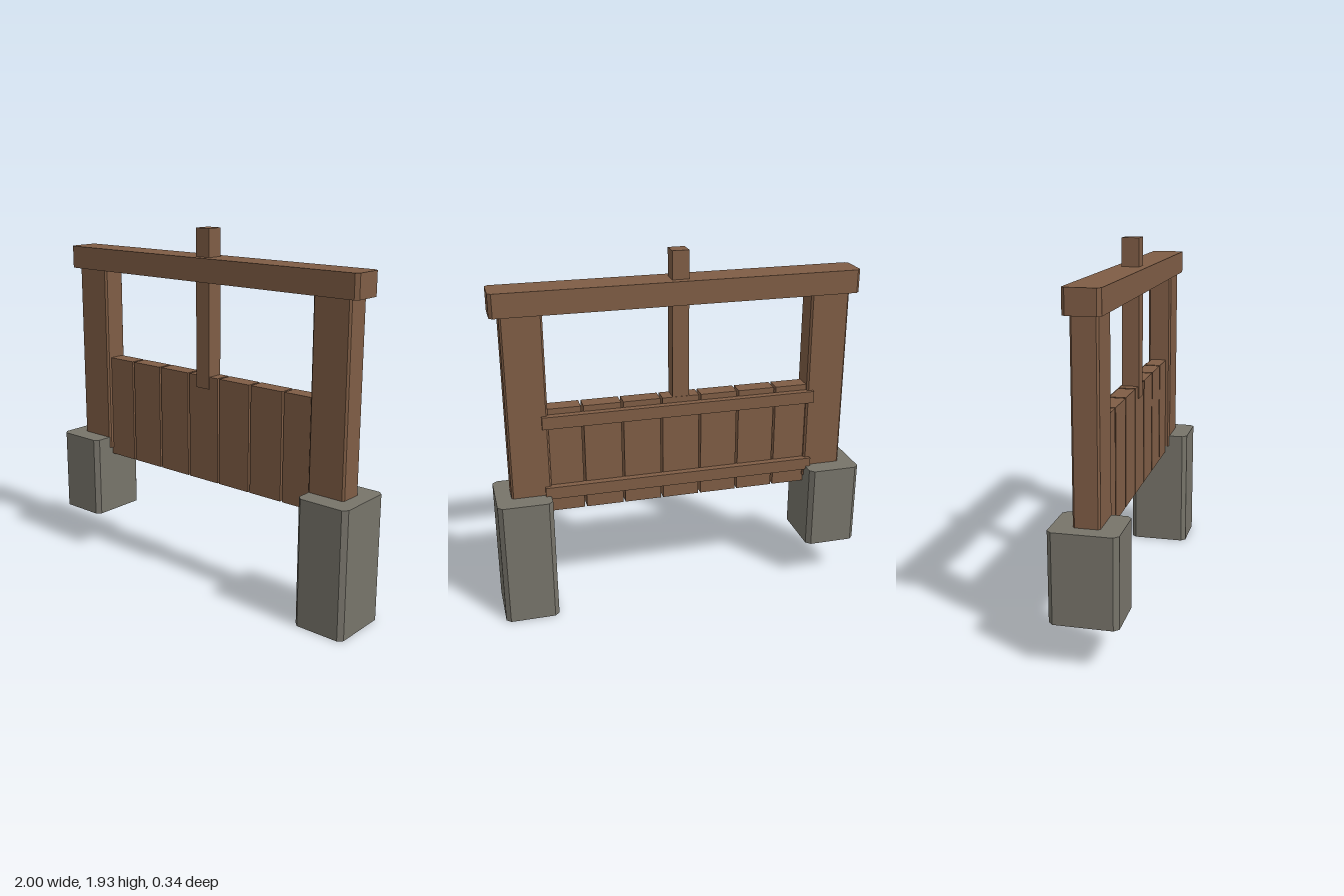
import * as THREE from 'three';

// Upright block whose four vertical edges are cut at 45 degrees
function chamferedBlock(width, height, depth, cut) {
  const w = width / 2, d = depth / 2;
  const outline = [
    [w, -d + cut], [w, d - cut], [w - cut, d], [-w + cut, d],
    [-w, d - cut], [-w, -d + cut], [-w + cut, -d], [w - cut, -d],
  ].map(([x, z]) => new THREE.Vector2(x, z));
  const geometry = new THREE.ExtrudeGeometry(new THREE.Shape(outline), { depth: height, bevelEnabled: false });
  return geometry.rotateX(-Math.PI / 2);
}

export function createModel() {
  const wood = new THREE.MeshStandardMaterial({ color: 0x7f5d45 });
  wood.name = 'brown wood';
  const stone = new THREE.MeshStandardMaterial({ color: 0x77746a });
  stone.name = 'grey stone';

  const gate = new THREE.Group();
  gate.name = 'sluiceGate';

  function add(name, geometry, material, x, y, z = 0) {
    const mesh = new THREE.Mesh(geometry, material);
    mesh.name = name;
    mesh.position.set(x, y, z);
    gate.add(mesh);
  }

  // Stone footings (one deeper than the other) and the posts set into them
  for (const [side, sign, bottom] of [['left', 1, 0], ['right', -1, 0.225]]) {
    add(side + 'Footing', chamferedBlock(0.287, 0.68 - bottom, 0.34, 0.024), stone, sign * 0.8565, bottom);
    add(side + 'Post', chamferedBlock(0.212, 1.05, 0.132, 0.01), wood, sign * 0.812, 0.615);
  }

  // Cross beam and the lifting stem that passes through it
  add('crossBeam', chamferedBlock(1.93, 0.123, 0.18, 0.018), wood, 0, 1.66);
  add('liftingStem', new THREE.BoxGeometry(0.088, 0.84, 0.092), wood, 0, 1.51);

  // Gate panel of seven upright planks with narrow gaps
  for (let i = 0; i < 7; i++) {
    add('gatePlank' + (i + 1), new THREE.BoxGeometry(0.198, 0.58, 0.088), wood, (i - 3) * 0.2105, 0.866, -0.004);
  }

  // Two rails across the back of the planks
  add('upperRail', new THREE.BoxGeometry(1.48, 0.066, 0.042), wood, 0, 1.092, -0.065);
  add('lowerRail', new THREE.BoxGeometry(1.48, 0.066, 0.042), wood, 0, 0.695, -0.065);

  return gate;
}
